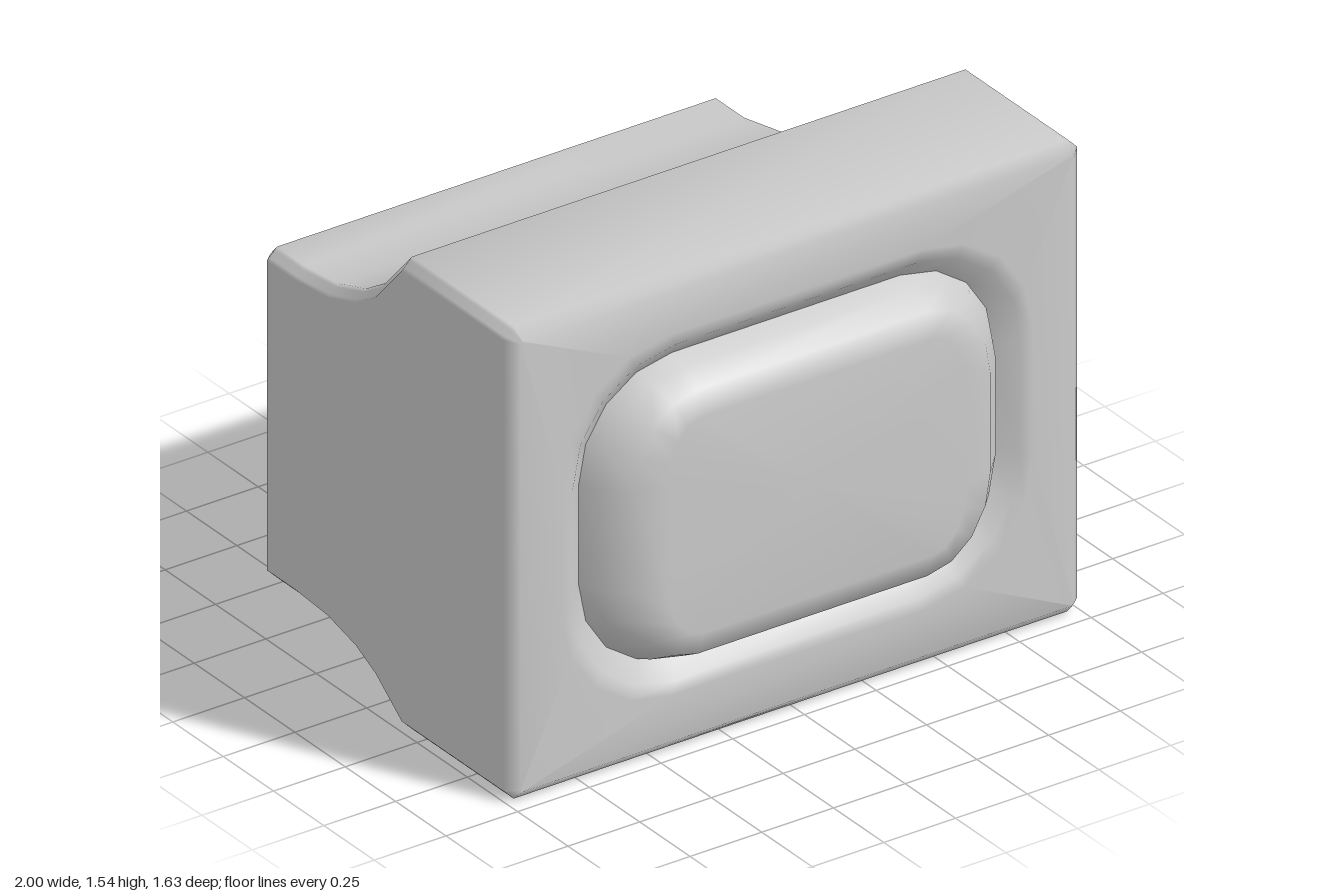
import * as THREE from 'three';

const STEPS = 4; // segments per corner

// Rectangle loop at depth z with cut (straight) or rounded corners, counterclockwise from the front
function ring(z, hx, y0, y1, rx, ry, round) {
  const cy = (y0 + y1) / 2, hy = (y1 - y0) / 2, pts = [];
  for (let q = 0; q < 4; q++) {
    const sx = q === 0 || q === 3 ? 1 : -1, sy = q < 2 ? 1 : -1;
    for (let k = 0; k <= STEPS; k++) {
      const t = (q % 2 ? STEPS - k : k) / STEPS;
      const c = round ? Math.cos(t * Math.PI / 2) : 1 - t;
      const s = round ? Math.sin(t * Math.PI / 2) : t;
      pts.push([sx * (hx - rx + rx * c), cy + sy * (hy - ry + ry * s), z]);
    }
  }
  return pts;
}

// Skin a list of loops, with optional fan caps at either end
function loft(rings, capBack, capFront) {
  const n = rings[0].length, pos = rings.flat(2), index = [];
  for (let i = 0; i < rings.length - 1; i++) {
    for (let j = 0; j < n; j++) {
      const k = (j + 1) % n, a = i * n, b = a + n;
      index.push(a + j, a + k, b + k, a + j, b + k, b + j);
    }
  }
  const cap = (i, front) => {
    const ys = rings[i].map(p => p[1]), m = pos.length / 3;
    pos.push(0, (Math.min(...ys) + Math.max(...ys)) / 2, rings[i][0][2]);
    for (let j = 0; j < n; j++) {
      const a = i * n + j, b = i * n + (j + 1) % n;
      if (front) index.push(m, a, b); else index.push(m, b, a);
    }
  };
  if (capBack) cap(0, false);
  if (capFront) cap(rings.length - 1, true);
  const g = new THREE.BufferGeometry();
  g.setAttribute('position', new THREE.Float32BufferAttribute(pos, 3));
  g.setIndex(index);
  g.computeVertexNormals();
  return g;
}

export function createModel() {
  const group = new THREE.Group();
  const add = (name, geometry) => {
    const mesh = new THREE.Mesh(geometry, new THREE.MeshStandardMaterial({ color: 0xcccccc }));
    mesh.name = name;
    group.add(mesh);
  };

  // Housing: [z, half width, top height] from back to front
  const bevel = 0.035;
  const sections = [
    [-0.78, 0.8, 1.077], [-0.64, 0.8, 1.077], [-0.46, 0.812, 1.105], [-0.27, 0.848, 1.185],
    [-0.1, 0.898, 1.295], [0.175, 1, 1.537], [0.68, 1, 1.537],
  ].map(([z, hx, top]) => ring(z, hx, 0, top, bevel, bevel, false));
  const housing = [
    ring(-0.815, 0.765, bevel, 1.042, 0.008, 0.008, false),
    ...sections,
    ring(0.715, 0.965, bevel, 1.502, 0.008, 0.008, false),
    // recess lip and sloping recess wall
    ring(0.715, 0.82, 0.185, 1.36, 0.38, 0.38, true),
    ring(0.71, 0.78, 0.225, 1.32, 0.36, 0.36, true),
    ring(0.655, 0.72, 0.285, 1.26, 0.325, 0.33, true),
  ];
  add('housing', loft(housing, true, false));

  // Bulging screen, seated in the recess
  const glass = [
    [0.655, 0.725, 0.28, 1.265], [0.715, 0.69, 0.302, 1.243],
    [0.79, 0.62, 0.343, 1.202], [0.815, 0.52, 0.42, 1.125],
  ].map(([z, hx, y0, y1]) => ring(z, hx, y0, y1, hx - 0.4, 0.61 - y0, true));
  add('screen', loft(glass, false, true));

  return group;
}
